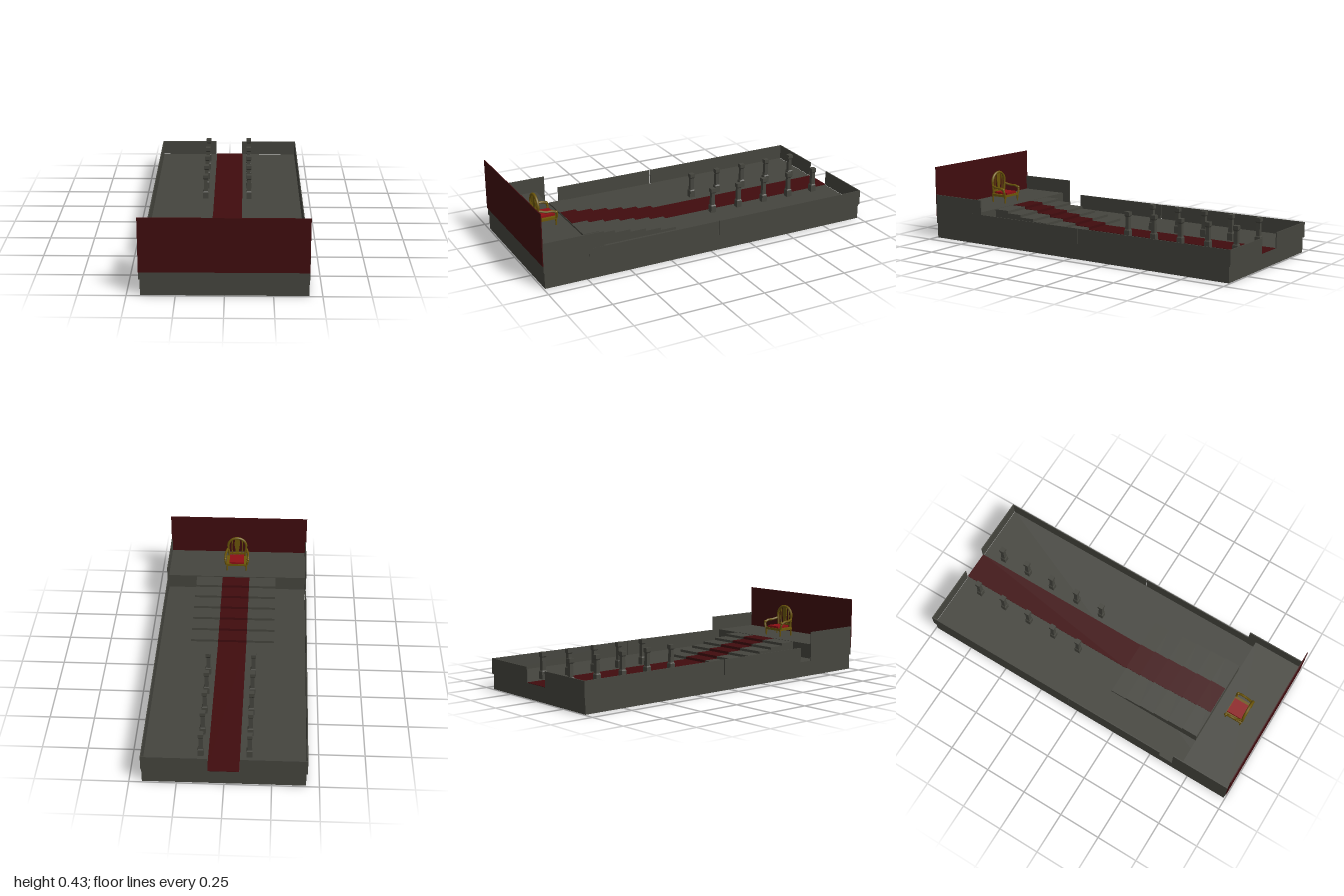
import * as THREE from 'three';

const mat = (name, color) => {
  const m = new THREE.MeshStandardMaterial({ color });
  m.name = name;
  return m;
};

export function createModel() {
  const stone = mat('grey stone', 0x45453e);
  const cloth = mat('dark red cloth', 0x400c0e);
  const gold = mat('old gold', 0x6b5508);
  const velvet = mat('red velvet', 0x8c1014);

  const model = new THREE.Group();
  model.name = 'throneRoom';

  const add = (parent, name, geo, material, x = 0, y = 0, z = 0) => {
    const mesh = new THREE.Mesh(geo, material);
    mesh.name = name;
    mesh.position.set(x, y, z);
    parent.add(mesh);
    return mesh;
  };
  // Box given by its limits on each axis
  const box = (parent, name, material, [x0, x1], [y0, y1], [z0, z1]) =>
    add(parent, name, new THREE.BoxGeometry(x1 - x0, y1 - y0, z1 - z0), material,
      (x0 + x1) / 2, (y0 + y1) / 2, (z0 + z1) / 2);

  const FLOOR = 0.088, DAIS = 0.175, LOW = 0.175, HIGH = 0.26;

  // Floor slab and raised dais
  box(model, 'floorSlab', stone, [-0.43, 0.432], [0, FLOOR], [-0.992, 0.992]);
  box(model, 'dais', stone, [-0.43, 0.432], [FLOOR, DAIS], [0.7, 0.992]);

  // Thin side walls: low sections, then high ones beside the dais
  const left = [0.43, 0.435], right = [-0.436, -0.43];
  box(model, 'lowWallLeftRear', stone, left, [FLOOR, LOW], [-1, -0.05]);
  box(model, 'lowWallLeftFront', stone, left, [FLOOR, LOW], [-0.045, 0.735]);
  box(model, 'highWallLeft', stone, [0.428, 0.434], [FLOOR, HIGH], [0.65, 0.996]);
  box(model, 'lowWallRightRear', stone, right, [FLOOR, LOW], [-1, -0.05]);
  box(model, 'lowWallRightFront', stone, right, [FLOOR, LOW], [-0.045, 0.56]);
  box(model, 'highWallRight', stone, right, [FLOOR, HIGH], [0.645, 0.996]);

  // Entrance wall with a central opening, and the curtain behind the throne
  box(model, 'entranceWallLeft', stone, [0.085, 0.435], [FLOOR, LOW], [-1, -0.994]);
  box(model, 'entranceWallRight', stone, [-0.436, -0.085], [FLOOR, LOW], [-1, -0.994]);
  box(model, 'endWall', stone, [-0.436, 0.434], [FLOOR, LOW], [0.99, 0.995]);
  box(model, 'curtain', cloth, [-0.437, 0.433], [0.13, 0.426], [0.995, 1]);

  // Wide stairs, each step covered by the carpet
  const carpet = [-0.08, 0.088], steps = 6, depth = 0.0945, rise = (DAIS - FLOOR) / steps;
  box(model, 'carpet', cloth, carpet, [FLOOR, FLOOR + 0.002], [-0.998, 0.125]);
  for (let i = 0; i < steps; i++) {
    const z = 0.125 + i * depth, y = FLOOR + (i + 1) * rise;
    box(model, 'step', stone, [-0.245, 0.25], [FLOOR, y], [z, Math.min(z + depth, 0.7)]);
    box(model, 'stepCarpet', cloth, carpet, [y - rise, y + 0.002], [z - 0.002, z + depth - 0.003]);
  }

  // Two rows of square pillars with tapered base and flared cap
  const profile = [[0, 0], [0.016, 0], [0.016, 0.04], [0.012, 0.047], [0.0105, 0.118],
    [0.015, 0.126], [0.015, 0.147], [0, 0.147]]
    .map(([half, y]) => new THREE.Vector2(half * Math.SQRT2, y));
  const flat = new THREE.LatheGeometry(profile, 4).rotateY(Math.PI / 4).toNonIndexed();
  flat.computeVertexNormals();
  for (const x of [-0.13, 0.128])
    for (let i = 0; i < 5; i++)
      add(model, 'pillar', flat, stone, x, FLOOR, -0.868 + i * 0.173);

  // Throne, built facing the entrance
  const throne = new THREE.Group();
  throne.name = 'throne';
  throne.position.set(0.004, DAIS, 0.82);
  model.add(throne);

  box(throne, 'seatFrame', gold, [-0.064, 0.064], [0.036, 0.05], [-0.054, 0.052]);
  box(throne, 'seatCushion', velvet, [-0.045, 0.045], [0.05, 0.062], [-0.05, 0.042]);

  const rod = (name, points, r) => add(throne, name, new THREE.TubeGeometry(
    new THREE.CatmullRomCurve3(points.map(p => new THREE.Vector3(...p))), 12, r, 6), gold);

  for (const s of [-1, 1]) {
    // Legs, arms and back posts on each side
    for (const z of [-0.048, 0.046])
      add(throne, 'leg', new THREE.CylinderGeometry(0.006, 0.004, 0.04, 8), gold, s * 0.06, 0.02, z);
    rod('arm', [[s * 0.064, 0.045, -0.05], [s * 0.072, 0.075, -0.048],
      [s * 0.072, 0.09, -0.025], [s * 0.07, 0.091, 0.01], [s * 0.06, 0.1, 0.05]], 0.007);
    add(throne, 'armKnob', new THREE.SphereGeometry(0.009, 10, 8), gold, s * 0.072, 0.082, -0.046);
    rod('backPost', [[s * 0.05, 0.045, 0.05], [s * 0.053, 0.08, 0.051], [s * 0.058, 0.125, 0.052]], 0.007);
    // Curved slats beside the centre splat
    rod('backSlat', [[s * 0.024, 0.05, 0.051], [s * 0.034, 0.1, 0.052], [s * 0.03, 0.168, 0.053]], 0.004);
  }

  // Arched top rail, centre splat and crest
  add(throne, 'backArch', new THREE.TorusGeometry(0.057, 0.008, 8, 20, Math.PI), gold, 0, 0.12, 0.052);
  const splat = new THREE.Shape();
  splat.moveTo(-0.012, 0.05);
  splat.lineTo(0.012, 0.05);
  splat.quadraticCurveTo(0.008, 0.09, 0.018, 0.13);
  splat.lineTo(0.014, 0.175);
  splat.lineTo(-0.014, 0.175);
  splat.lineTo(-0.018, 0.13);
  splat.quadraticCurveTo(-0.008, 0.09, -0.012, 0.05);
  add(throne, 'backSplat', new THREE.ExtrudeGeometry(splat, { depth: 0.006, bevelEnabled: false }), gold, 0, 0, 0.049);
  add(throne, 'lowerBackRail', new THREE.BoxGeometry(0.104, 0.01, 0.008), gold, 0, 0.066, 0.051);

  return model;
}
